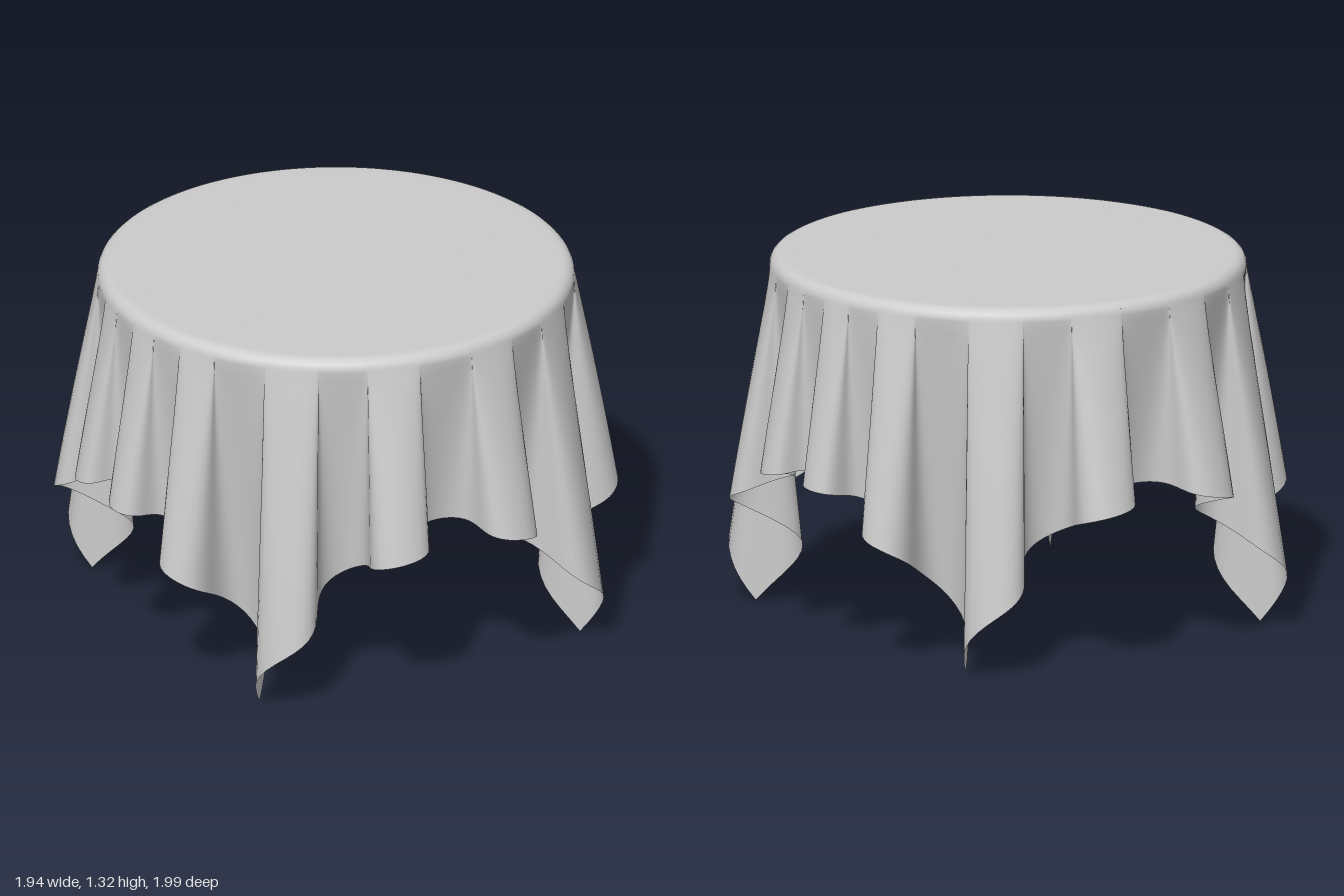
import * as THREE from 'three';

// Folds of one quarter: [angle in degrees, hem radius], alternating valley and crest
const QUARTER = [
  [0, 0.82], [8.4, 0.98], [17, 0.8], [26, 1.005], [37.5, 0.73],
  [52.5, 1.03], [64, 0.77], [76, 1.022], [90, 0.78],
];
const TOP_Y = 1.32, RIM = 0.85, BEVEL = 0.045;
const HALF_CLOTH = 1.525;   // half the side of the square cloth
const STEPS = 14;           // columns between a valley and a crest
const SKIRT_ROWS = 22;
const rad = THREE.MathUtils.degToRad;

// Columns of the drape over one quarter: direction, hem radius and hem height
function quarterColumns() {
  const cols = [];
  for (let k = 0; k < QUARTER.length - 1; k++) {
    const [a0, r0] = QUARTER[k], [a1, r1] = QUARTER[k + 1];
    for (let i = 0; i < STEPS; i++) {
      const u = i / STEPS;
      const phi = a0 + (a1 - a0) * u;
      // steep fold sides with round crests and valleys
      const theta = a0 + (a1 - a0) * (u + 0.165 * Math.sin(2 * Math.PI * u));
      const corner = 0.03 * Math.exp(-(((phi - 45) / 4) ** 2));
      const hemR = r0 + (r1 - r0) * (1 - Math.cos(Math.PI * u)) / 2 + corner;
      // a square cloth hangs lowest at its corners
      const reach = HALF_CLOTH / Math.max(Math.cos(rad(phi)), Math.sin(rad(phi)));
      const hemY = TOP_Y - (reach - (HALF_CLOTH * Math.SQRT2 - TOP_Y));
      cols.push({ theta, hemR, hemY });
    }
  }
  return cols;
}

// Mirror the quarter all the way round
function allColumns() {
  const q = quarterColumns();
  const [a, r] = QUARTER[QUARTER.length - 1];
  const last = { theta: a, hemR: r, hemY: q[0].hemY };
  const flip = [last, ...q.slice(1).reverse()].map(c => ({ ...c, theta: 180 - c.theta }));
  const half = [...q, ...flip];
  return [...half, ...half.map(c => ({ ...c, theta: c.theta + 180 }))];
}

// Radius and height down one column: flat top, rounded rim, hanging skirt
function columnProfile({ hemR, hemY }) {
  const inner = RIM - BEVEL;
  const points = [[0, TOP_Y], [inner * 0.5, TOP_Y], [inner - 0.02, TOP_Y]];
  for (let i = 0; i <= 5; i++) {
    const a = (i / 5) * Math.PI / 2;
    points.push([inner + BEVEL * Math.sin(a), TOP_Y - BEVEL * (1 - Math.cos(a))]);
  }
  const y0 = TOP_Y - BEVEL;
  for (let i = 1; i <= SKIRT_ROWS; i++) {
    const s = i / SKIRT_ROWS;
    const spread = s + 0.12 * s * (1 - s);
    points.push([RIM + (hemR - RIM) * spread, y0 + (hemY - y0) * s]);
  }
  return points;
}

function drapeGeometry() {
  const cols = allColumns();
  const positions = [], index = [];
  let rows = 0;
  for (const col of cols) {
    const profile = columnProfile(col);
    rows = profile.length;
    const c = Math.cos(rad(col.theta)), s = Math.sin(rad(col.theta));
    for (const [r, y] of profile) positions.push(r * c, y, r * s);
  }
  for (let i = 0; i < cols.length; i++) {
    const a = i * rows, b = ((i + 1) % cols.length) * rows;
    for (let j = 0; j < rows - 1; j++) {
      if (j > 0) index.push(a + j, b + j, a + j + 1);
      index.push(b + j, b + j + 1, a + j + 1);
    }
  }
  const geo = new THREE.BufferGeometry();
  geo.setAttribute('position', new THREE.Float32BufferAttribute(positions, 3));
  geo.setIndex(index);
  geo.computeVertexNormals();
  // the centre of the top is one point shared by all columns
  const normals = geo.attributes.normal;
  for (let i = 0; i < cols.length; i++) normals.setXYZ(i * rows, 0, 1, 0);
  return geo;
}

export function createModel() {
  const group = new THREE.Group();
  group.name = 'drapedTablecloth';
  const material = new THREE.MeshStandardMaterial({ color: 0xcccccc, side: THREE.DoubleSide });
  const cloth = new THREE.Mesh(drapeGeometry(), material);
  cloth.name = 'tablecloth';
  group.add(cloth);
  return group;
}
